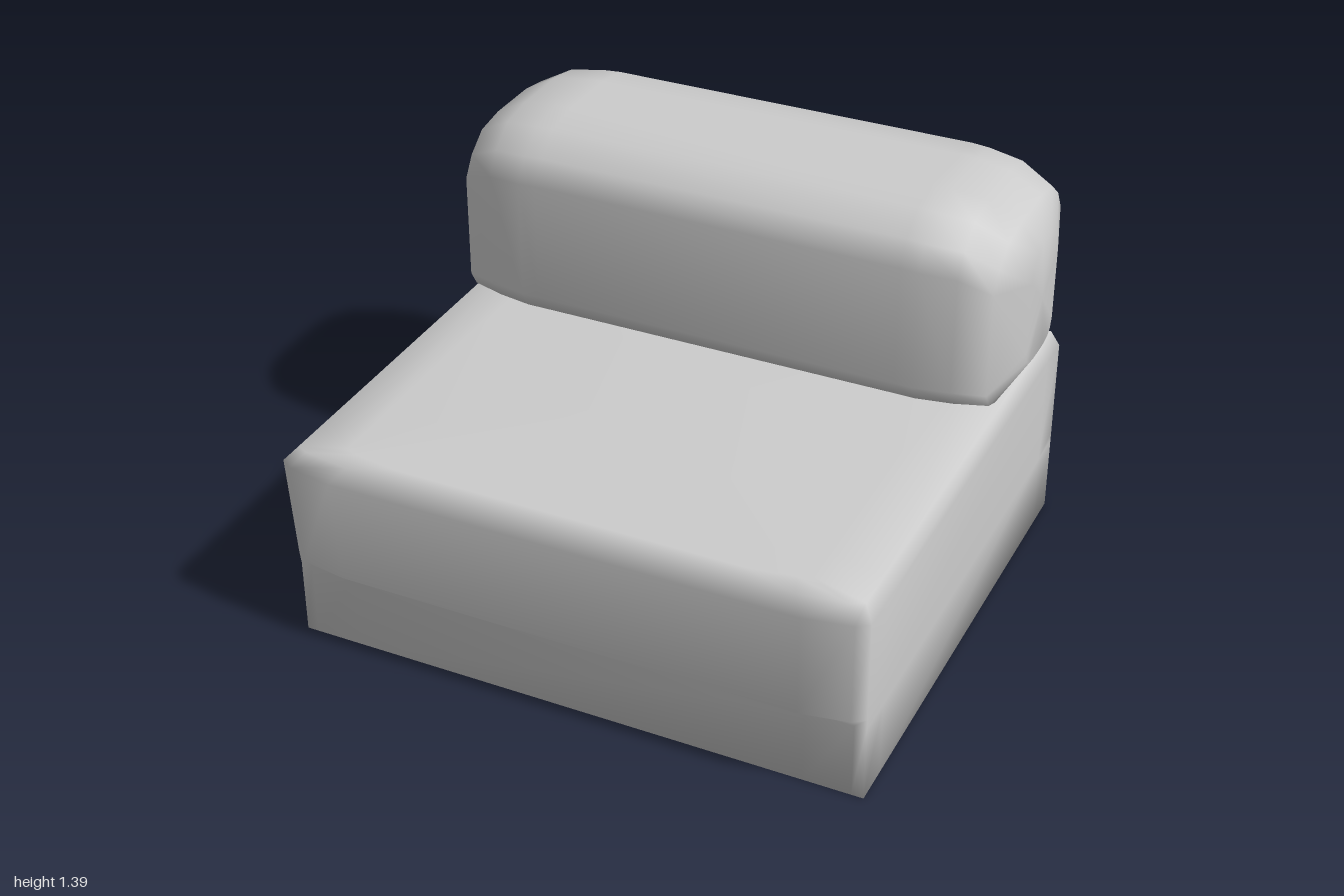
import * as THREE from 'three';

// Skin a list of equal-length rings; smooth normals, caps at both ends
function loft(rings) {
  const n = rings[0].length;
  const pos = rings.flat(2);
  const index = [];
  for (let i = 0; i < rings.length - 1; i++) {
    for (let j = 0; j < n; j++) {
      const k = (j + 1) % n;
      const a = i * n + j, b = i * n + k, c = b + n, d = a + n;
      index.push(a, b, c, a, c, d);
    }
  }
  const addCap = (r, flip) => {
    const centre = [0, 1, 2].map((c) => rings[r].reduce((s, p) => s + p[c], 0) / n);
    const m = pos.length / 3;
    pos.push(...centre);
    for (let j = 0; j < n; j++) {
      const a = r * n + j, b = r * n + ((j + 1) % n);
      index.push(m, flip ? b : a, flip ? a : b);
    }
  };
  addCap(0, true);
  addCap(rings.length - 1, false);
  const g = new THREE.BufferGeometry();
  g.setAttribute('position', new THREE.Float32BufferAttribute(pos, 3));
  g.setIndex(index);
  g.computeVertexNormals();
  return g;
}

// Horizontal seat outline: square back corners, front bowed from zCorner to zFront
function seatRing(y, xMin, xMax, zBack, zCorner, zFront) {
  const s = 0.13, bow = zCorner + (zFront - zCorner) * 0.5;
  return [
    [xMax, y, zCorner], [xMax, y, zCorner - s], [xMax, y, zBack + s], [xMax, y, zBack],
    [xMax - s, y, zBack], [xMin + s, y, zBack], [xMin, y, zBack],
    [xMin, y, zBack + s], [xMin, y, zCorner - s], [xMin, y, zCorner],
    [xMin + 0.04, y, bow], [xMin + 0.2, y, zFront],
    [xMax - 0.2, y, zFront], [xMax - 0.04, y, bow],
  ];
}

// Half of the bolster's cross-section: z as -1..1, y as 0..1
const half = [
  [0.3, 1], [0.64, 0.97], [0.87, 0.87], [1, 0.755],
  [1, 0.15], [0.9, 0.06], [0.7, 0.02], [0.35, 0],
];
const profile = [...half, ...half.slice().reverse().map(([z, y]) => [-z, y])];

function bolsterRing(x, halfDepth, yMin, yMax) {
  return profile.map(([z, y]) => [x, yMin + y * (yMax - yMin), -0.535 + z * halfDepth]);
}

export function createModel() {
  const group = new THREE.Group();
  const add = (name, geometry) => {
    const mesh = new THREE.Mesh(geometry, new THREE.MeshStandardMaterial({ color: 0xcccccc }));
    mesh.name = name;
    group.add(mesh);
  };

  // Seat block: flat closed base, overhanging front lip, softened top edge
  add('seat', loft([
    seatRing(0, -0.7, 0.71, -0.58, 0.59, 0.59),
    seatRing(0, -0.97, 0.983, -0.85, 0.86, 0.86),
    seatRing(0.265, -0.97, 0.983, -0.85, 0.86, 0.86),
    seatRing(0.3, -0.975, 0.983, -0.85, 0.86, 0.918),
    seatRing(0.65, -1, 0.983, -0.85, 0.86, 0.918),
    seatRing(0.705, -0.95, 0.955, -0.835, 0.84, 0.885),
    seatRing(0.73, -0.78, 0.78, -0.74, 0.82, 0.86),
  ]));

  // Padded backrest bolster, sections mirrored from the ends to the middle
  const sections = [
    [0.99, 0.13, 0.8, 1.22],
    [0.93, 0.33, 0.71, 1.31],
    [0.82, 0.36, 0.7, 1.37],
    [0.7, 0.385, 0.7, 1.385],
    [0.64, 0.385, 0.7, 1.39],
  ];
  add('backrest', loft([
    ...sections.map(([x, ...s]) => bolsterRing(0.01 - x, ...s)),
    ...sections.slice().reverse().map(([x, ...s]) => bolsterRing(0.01 + x, ...s)),
  ]));

  return group;
}
